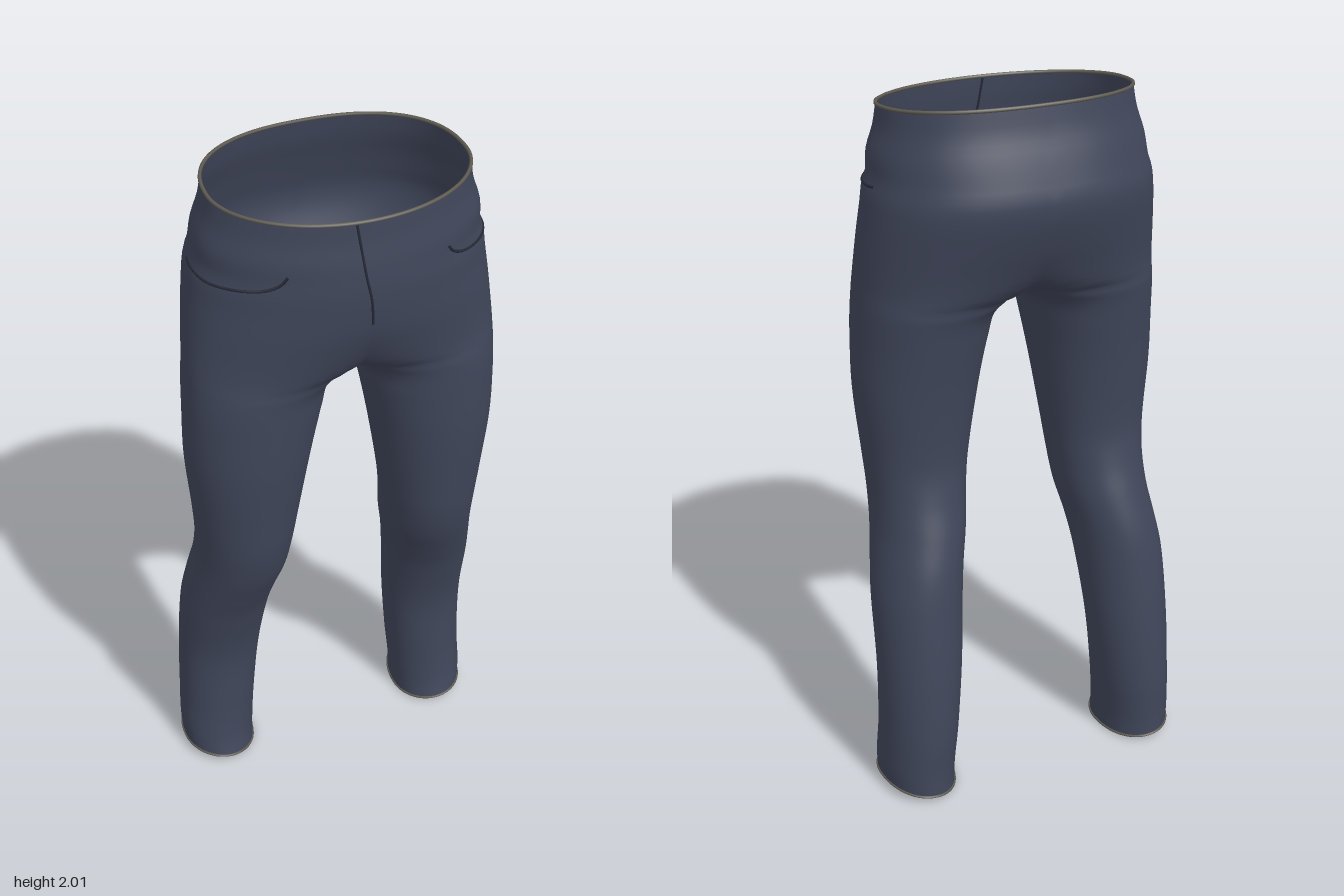
import * as THREE from 'three';
import { mergeVertices } from 'three/addons/utils/BufferGeometryUtils.js';

// Half-section by height: y, outer x, inner x (negative where the halves join), front z, back z, z of widest point
const SECTIONS = [
  [0.00, 0.462, 0.250, 0.025, -0.262, -0.10],
  [0.06, 0.465, 0.248, 0.012, -0.260, -0.10],
  [0.20, 0.460, 0.235, 0.003, -0.260, -0.11],
  [0.40, 0.456, 0.215, 0.006, -0.245, -0.10],
  [0.60, 0.450, 0.195, 0.060, -0.220, -0.06],
  [0.70, 0.436, 0.180, 0.100, -0.202, -0.03],
  [0.80, 0.421, 0.158, 0.142, -0.173, 0.00],
  [0.90, 0.418, 0.145, 0.170, -0.142, 0.02],
  [1.00, 0.425, 0.130, 0.184, -0.125, 0.03],
  [1.20, 0.441, 0.095, 0.206, -0.138, 0.04],
  [1.36, 0.438, 0.062, 0.214, -0.160, 0.05],
  [1.42, 0.435, 0.045, 0.216, -0.170, 0.05],
  [1.46, 0.432, 0.000, 0.219, -0.182, 0.05],
  [1.50, 0.429, -0.110, 0.226, -0.196, 0.05],
  [1.56, 0.424, -0.230, 0.243, -0.218, 0.04],
  [1.64, 0.415, -0.350, 0.266, -0.250, 0.03],
  [1.72, 0.404, -0.404, 0.278, -0.275, 0.02],
  [1.77, 0.396, -0.396, 0.280, -0.278, 0.02],
  [1.80, 0.385, -0.385, 0.279, -0.270, 0.02],
  [1.86, 0.378, -0.378, 0.275, -0.250, 0.03],
  [1.92, 0.358, -0.358, 0.268, -0.228, 0.03],
  [1.98, 0.347, -0.347, 0.264, -0.216, 0.03],
];
const ROWS = 99, COLS = 72;

// Smooth interpolation of one column of the section table
function sample(y, col) {
  const S = SECTIONS, n = S.length;
  let i = 0;
  while (i < n - 2 && y > S[i + 1][0]) i++;
  const slope = (k) => {
    const a = S[Math.max(k - 1, 0)], b = S[Math.min(k + 1, n - 1)];
    return (b[col] - a[col]) / (b[0] - a[0]);
  };
  const h = S[i + 1][0] - S[i][0], t = (y - S[i][0]) / h, t2 = t * t, t3 = t2 * t;
  return (2 * t3 - 3 * t2 + 1) * S[i][col] + (t3 - 2 * t2 + t) * h * slope(i)
    + (3 * t2 - 2 * t3) * S[i + 1][col] + (t3 - t2) * h * slope(i + 1);
}

function section(y) {
  const outer = sample(y, 1);
  const inner = y >= 1.72 ? -outer : sample(y, 2);
  return {
    y, cx: (outer + inner) / 2, a: (outer - inner) / 2, inner,
    front: sample(y, 3), back: sample(y, 4), mid: sample(y, 5),
    pBack: 0.95 - 0.1 * THREE.MathUtils.smoothstep(y, 1.2, 1.7),
  };
}

// Point on a section; angle 0 is the outside, positive angles go to the front
function pointAt(s, angle, side) {
  const c = Math.cos(angle), w = Math.abs(Math.sin(angle));
  const p = angle < 0 ? s.pBack : 1;
  const x = Math.max(0, s.cx + s.a * Math.sign(c) * Math.abs(c) ** p);
  const z = s.mid + (angle < 0 ? s.back - s.mid : s.front - s.mid) * w ** p;
  const waist = THREE.MathUtils.smoothstep(s.y, 1.75, 1.98);
  const hem = 1 - THREE.MathUtils.smoothstep(s.y, 0, 0.25);
  const y = s.y - 0.093 * (z - 0.03) * waist + (0.005 + 0.11 * (x - 0.25)) * hem;
  return new THREE.Vector3(side * x, y, z);
}

// Points from the front inner edge round the outside to the back inner edge
function ring(y, side) {
  const s = section(y);
  const limit = (p) => s.inner >= -1e-6 ? Math.PI
    : Math.PI - Math.acos(Math.min(1, Math.max(0, s.cx / s.a) ** (1 / p)));
  const f = limit(1), b = limit(s.pBack);
  return Array.from({ length: COLS + 1 }, (_, j) => {
    const t = 1 - 2 * j / COLS;
    const q = pointAt(s, t >= 0 ? t * f : t * b, side);
    if ((j === 0 || j === COLS) && s.inner < 0) q.x = 0;
    return q;
  });
}

// Both legs and the hips as one smooth welded cloth
function clothGeometry() {
  const pos = [], index = [];
  for (const side of [1, -1]) {
    const base = pos.length / 3;
    for (let i = 0; i <= ROWS; i++) {
      for (const q of ring(i / 50, side)) pos.push(q.x, q.y, q.z);
    }
    for (let i = 0; i < ROWS; i++) {
      for (let j = 0; j < COLS; j++) {
        const a = base + i * (COLS + 1) + j, b = a + 1, c = a + COLS + 1, d = c + 1;
        if (side > 0) index.push(a, b, c, b, d, c);
        else index.push(a, c, b, b, c, d);
      }
    }
  }
  const g = new THREE.BufferGeometry();
  g.setAttribute('position', new THREE.Float32BufferAttribute(pos, 3));
  g.setIndex(index);
  const welded = mergeVertices(g, 1e-5);
  welded.computeVertexNormals();
  return welded;
}

function cord(name, points, radius, material, closed = false) {
  const path = new THREE.CatmullRomCurve3(points, closed);
  const mesh = new THREE.Mesh(new THREE.TubeGeometry(path, closed ? 120 : 40, radius, 6, closed), material);
  mesh.name = name;
  return mesh;
}

export function createModel() {
  const model = new THREE.Group();
  model.name = 'trousers';
  const denim = new THREE.MeshStandardMaterial({ color: 0x40465a, side: THREE.DoubleSide });
  denim.name = 'navy denim';
  const edge = new THREE.MeshStandardMaterial({ color: 0x5f5b52 });
  edge.name = 'grey cloth edge';
  const seam = new THREE.MeshStandardMaterial({ color: 0x262a36 });
  seam.name = 'dark seam';

  const cloth = new THREE.Mesh(clothGeometry(), denim);
  cloth.name = 'legsAndHips';
  model.add(cloth);

  // Waist edge
  const left = ring(1.98, 1), right = ring(1.98, -1).reverse();
  model.add(cord('waistEdge', [...left.slice(0, -1), ...right.slice(0, -1)], 0.005, edge, true));

  for (const side of [1, -1]) {
    const tag = side > 0 ? 'left' : 'right';
    // Hem edge
    model.add(cord(tag + 'HemEdge', ring(0, side).slice(0, -1), 0.004, edge, true));
    // Curved front pocket opening: angle and height
    const pocket = [[0.98, 1.835], [0.93, 1.81], [0.82, 1.79], [0.6, 1.78], [0.3, 1.776], [0, 1.78], [-0.1, 1.785]];
    model.add(cord(tag + 'PocketOpening', pocket.map(([t, y]) => pointAt(section(y), t, side)), 0.004, seam));
  }

  // Fly seam down the front: x and height
  const fly = [[0.045, 1.975], [0.035, 1.9], [0.025, 1.82], [0.01, 1.74], [0.004, 1.67]].map(([x, y]) => {
    const s = section(y);
    return pointAt(s, Math.acos((x - s.cx) / s.a), -1);
  });
  model.add(cord('flySeam', fly, 0.0035, seam));
  return model;
}
